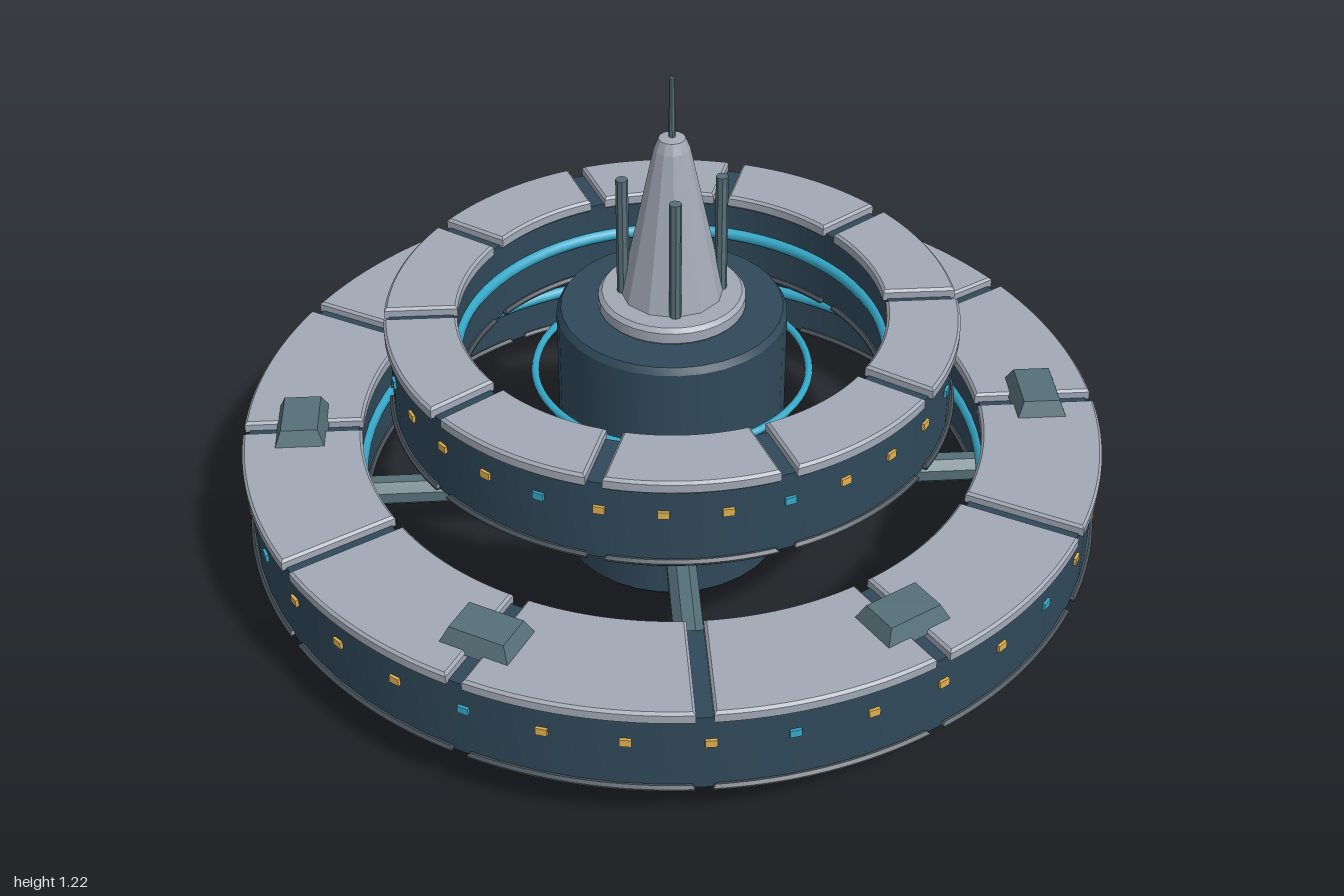
import * as THREE from 'three';
import { toCreasedNormals } from 'three/addons/utils/BufferGeometryUtils.js';

const material = (color, flatShading = false) =>
  new THREE.MeshStandardMaterial({ color, flatShading });
const hull = material(0x30495a);
const plate = material(0xa2a9b6);
const mastGrey = material(0xa2a9b6, true);
const underside = material(0x465058);
const steel = material(0x567078, true);
const cyan = material(0x36a9c9);
const amber = material(0xe0b050);

function add(parent, name, geometry, mat, x = 0, y = 0, z = 0) {
  const mesh = new THREE.Mesh(geometry, mat);
  mesh.name = name;
  mesh.position.set(x, y, z);
  parent.add(mesh);
  return mesh;
}

// Solid of revolution with crisp edges
function lathe(points, segments = 72) {
  const profile = points.map(([r, y]) => new THREE.Vector2(r, y));
  return toCreasedNormals(new THREE.LatheGeometry(profile, segments), 0.5);
}

// Bevelled sector of a ring, with straight parallel gaps at both ends
function sector(inner, outer, angle, gap, height) {
  const bevel = 0.006;
  const r0 = inner + bevel, r1 = outer - bevel;
  const trim = (r) => Math.asin((gap / 2 + bevel) / r);
  const shape = new THREE.Shape();
  shape.absarc(0, 0, r1, trim(r1), angle - trim(r1), false);
  shape.absarc(0, 0, r0, angle - trim(r0), trim(r0), true);
  shape.closePath();
  const geometry = new THREE.ExtrudeGeometry(shape, {
    depth: height - 2 * bevel, bevelThickness: bevel, bevelSize: bevel,
    bevelSegments: 1, curveSegments: 10,
  });
  return geometry.translate(0, 0, bevel).rotateX(-Math.PI / 2);
}

// Habitat ring: hull, segmented plating, light band and windows
function habitatRing({ name, inner, outer, bottom, top, sectors, windows, windowY, cyanAt, shift }) {
  const ring = new THREE.Group();
  ring.name = name;
  const a = inner + 0.01, b = outer - 0.01, lo = bottom + 0.006, hi = top - 0.022;
  add(ring, 'ringHull', lathe([[a, lo], [b, lo], [b, hi], [a, hi], [a, lo]]), hull);

  const angle = (Math.PI * 2) / sectors;
  const topPlate = sector(inner, outer, angle, 0.036, 0.032);
  const bottomPlate = sector(inner, outer, angle, 0.036, 0.016);
  for (let i = 0; i < sectors; i++) {
    add(ring, 'topPlate', topPlate, plate, 0, top - 0.032, 0).rotation.y = i * angle;
    add(ring, 'bottomPlate', bottomPlate, underside, 0, bottom, 0).rotation.y = i * angle;
  }

  const band = new THREE.TorusGeometry(a, 0.015, 8, 72).rotateX(Math.PI / 2);
  add(ring, 'lightBand', band, cyan, 0, (bottom + top) / 2, 0);

  const pane = new THREE.BoxGeometry(0.012, 0.018, 0.025);
  for (let i = 0; i < windows; i++) {
    const t = (i / windows) * Math.PI * 2 - shift;
    const mat = i % 4 === cyanAt ? cyan : amber;
    add(ring, 'window', pane, mat, b * Math.cos(t), windowY, b * Math.sin(t)).rotation.y = -t;
  }
  return ring;
}

// Low housing with sloping sides
function housingGeometry() {
  const geometry = new THREE.BoxGeometry(0.12, 0.045, 0.17);
  const p = geometry.attributes.position;
  for (let i = 0; i < p.count; i++) {
    if (p.getY(i) > 0) p.setXYZ(i, p.getX(i) * 0.7, p.getY(i), p.getZ(i) * 0.76);
  }
  geometry.computeVertexNormals();
  return geometry;
}

export function createModel() {
  const station = new THREE.Group();
  station.name = 'ringStation';

  // Central hub
  add(station, 'hub', lathe([
    [0, 0], [0.253, 0], [0.262, 0.01], [0.262, 0.63], [0.252, 0.645], [0, 0.645],
  ], 32), hull);
  const halo = new THREE.TorusGeometry(0.315, 0.009, 8, 64).rotateX(Math.PI / 2);
  add(station, 'hubHalo', halo, cyan, 0, 0.475, 0);

  // Two stacked rings
  station.add(habitatRing({
    name: 'lowerRing', inner: 0.72, outer: 0.995, bottom: 0.118, top: 0.34,
    sectors: 12, windows: 36, windowY: 0.25, cyanAt: 0, shift: 0.014,
  }));
  station.add(habitatRing({
    name: 'upperRing', inner: 0.485, outer: 0.65, bottom: 0.42, top: 0.645,
    sectors: 10, windows: 30, windowY: 0.555, cyanAt: 2, shift: 0.012,
  }));

  // Spokes from the hub under the lower ring
  const spoke = new THREE.CylinderGeometry(0.036, 0.036, 0.63, 8)
    .rotateY(Math.PI / 8).rotateZ(Math.PI / 2).translate(0.53, 0, 0);
  for (let i = 0; i < 4; i++) {
    add(station, 'spoke', spoke, steel, 0, 0.14, 0).rotation.y = (i * Math.PI) / 2;
  }

  // Housings on every second joint of the lower ring
  const housing = housingGeometry();
  for (let i = 0; i < 6; i++) {
    const t = (i * Math.PI) / 3;
    const mesh = add(station, 'dockHousing', housing, steel,
      0.86 * Math.cos(t), 0.353, 0.86 * Math.sin(t));
    mesh.rotation.y = -t;
  }

  // Mast with base, tapering tower and antenna
  const mast = new THREE.Group();
  mast.name = 'mast';
  station.add(mast);
  add(mast, 'mastBase', lathe([
    [0, 0.64], [0.158, 0.64], [0.167, 0.65], [0.167, 0.675], [0.158, 0.685], [0, 0.685],
  ], 32), plate);
  add(mast, 'tower', new THREE.LatheGeometry([
    [0.118, 0.68], [0.04, 1.05], [0.03, 1.075], [0, 1.08],
  ].map(([r, y]) => new THREE.Vector2(r, y)), 12), mastGrey);
  add(mast, 'antenna', new THREE.CylinderGeometry(0.006, 0.008, 0.15, 8), steel, 0, 1.145, 0);

  // Four upright rods around the tower
  const rod = new THREE.CylinderGeometry(0.014, 0.014, 0.3, 8);
  for (let i = 0; i < 4; i++) {
    const t = (i * Math.PI) / 2;
    add(mast, 'rod', rod, steel, 0.11 * Math.cos(t), 0.825, 0.11 * Math.sin(t));
  }
  return station;
}
